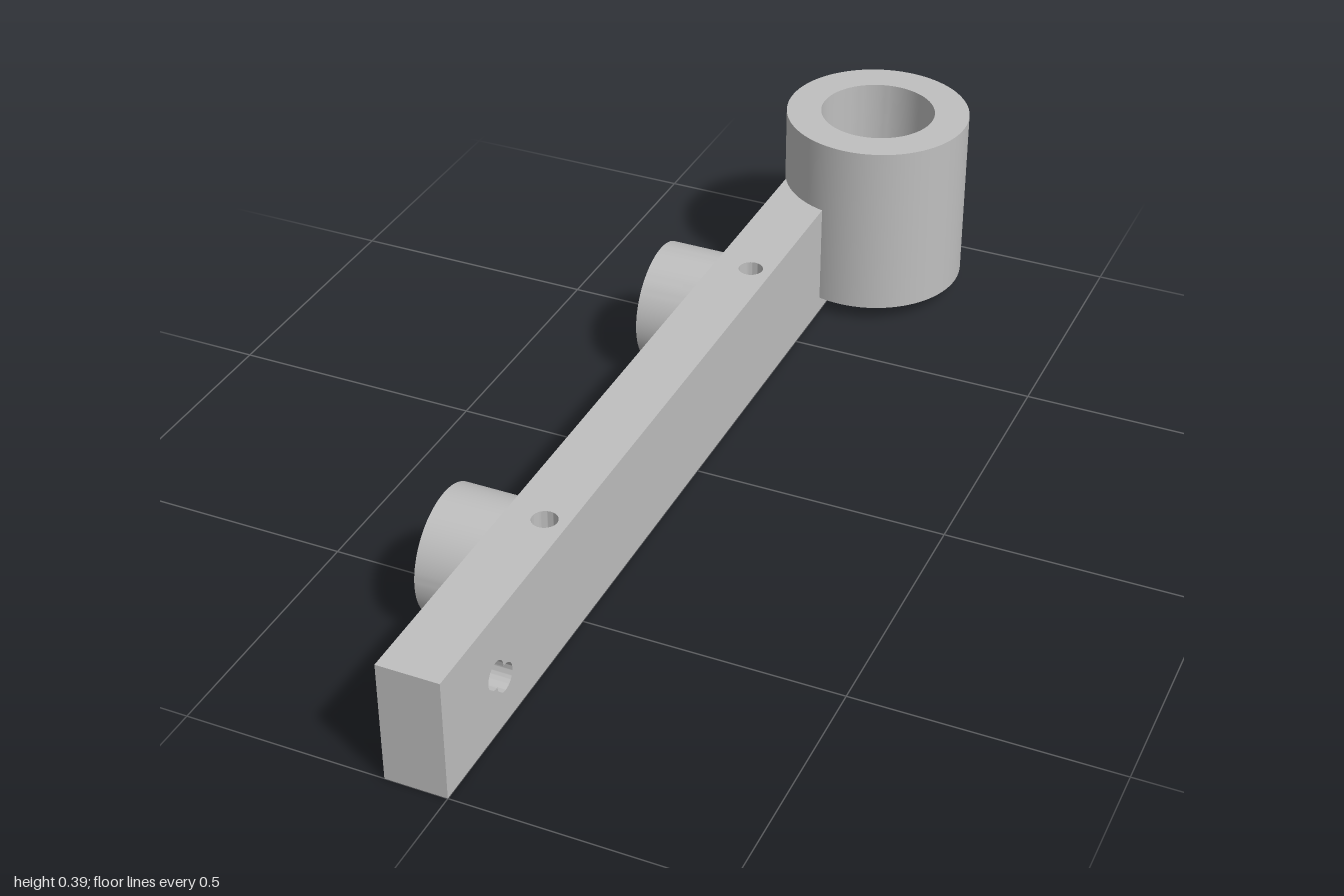
import * as THREE from 'three';
import { toCreasedNormals } from 'three/addons/utils/BufferGeometryUtils.js';

const BAR_W = 0.118, BAR_H = 0.242, BACK = -0.993;
const RING = { x: 0.0475, z: -0.812, R: 0.188, r: 0.117 };
const SPLIT_BACK = -0.92, SPLIT_FRONT = 0.68;

function circle(x, y, r, Type = THREE.Path) {
  return new Type().absarc(x, y, r, 0, Math.PI * 2, false);
}

function polygon(points) {
  return new THREE.Shape(points.map(([x, y]) => new THREE.Vector2(x, y)));
}

function extrude(shape, depth) {
  return new THREE.ExtrudeGeometry(shape, { depth, bevelEnabled: false, curveSegments: 40 });
}

// Shape drawn as (x, -z), raised along +y from y0
function extrudeUp(shape, y0, height) {
  return toCreasedNormals(extrude(shape, height).rotateX(-Math.PI / 2).translate(0, y0, 0), 0.5);
}

// Shape drawn as (z, y), extended along -x from x0
function extrudeAcross(shape, x0, width) {
  return toCreasedNormals(extrude(shape, width).rotateY(-Math.PI / 2).translate(x0, 0, 0), 0.5);
}

// Outline of two overlapping circles of equal radius
function doubleHole(x1, y1, x2, y2, r) {
  const d = Math.atan2(y2 - y1, x2 - x1);
  const a = Math.acos(Math.hypot(x2 - x1, y2 - y1) / 2 / r);
  const path = new THREE.Path();
  path.absarc(x1, y1, r, d + a, d - a + Math.PI * 2, false);
  path.absarc(x2, y2, r, d + Math.PI + a, d - a + Math.PI * 3, false);
  return path;
}

function barSide(z0, z1, hole) {
  const shape = polygon([[z0, 0], [z1, 0], [z1, BAR_H], [z0, BAR_H]]);
  shape.holes.push(hole);
  return extrudeAcross(shape, 0, BAR_W);
}

export function createModel() {
  const group = new THREE.Group();
  group.name = 'pivotArm';
  const metal = new THREE.MeshStandardMaterial({ color: 0xbfbfbf });
  metal.name = 'grey metal';
  const add = (name, geometry) => {
    const mesh = new THREE.Mesh(geometry, metal);
    mesh.name = name;
    group.add(mesh);
  };
  const bossZ = [-0.36, 0.545];

  // Middle of the bar, notched by the sleeve bore and drilled from above
  const half = Math.acos(RING.x / RING.r);
  const middle = new THREE.Shape();
  middle.moveTo(-BAR_W, -SPLIT_FRONT);
  middle.lineTo(0, -SPLIT_FRONT);
  middle.absarc(RING.x, -RING.z, RING.r, Math.PI + half, Math.PI - half, true);
  middle.lineTo(0, -SPLIT_BACK);
  middle.lineTo(-BAR_W, -SPLIT_BACK);
  middle.closePath();
  for (const z of bossZ) middle.holes.push(circle(-0.044, -z, 0.024));
  add('barMiddle', extrudeUp(middle, 0, BAR_H));

  // Ends of the bar, drilled from the side
  add('barFrontEnd', barSide(SPLIT_FRONT, 1, doubleHole(0.82, 0.121, 0.79, 0.094, 0.027)));
  add('barBackEnd', barSide(BACK, SPLIT_BACK, circle(-0.949, 0.094, 0.027)));

  // Upright sleeve
  const sleeve = circle(RING.x, -RING.z, RING.R, THREE.Shape);
  sleeve.holes.push(circle(RING.x, -RING.z, RING.r));
  add('sleeve', extrudeUp(sleeve, 0.032, 0.361));

  // Round bosses on the side of the bar
  for (const z of bossZ) {
    const boss = circle(z, BAR_H / 2, BAR_H / 2, THREE.Shape);
    boss.holes.push(circle(z, BAR_H / 2, 0.058));
    add('boss', extrudeAcross(boss, -BAR_W, 0.121));
  }

  return group;
}
